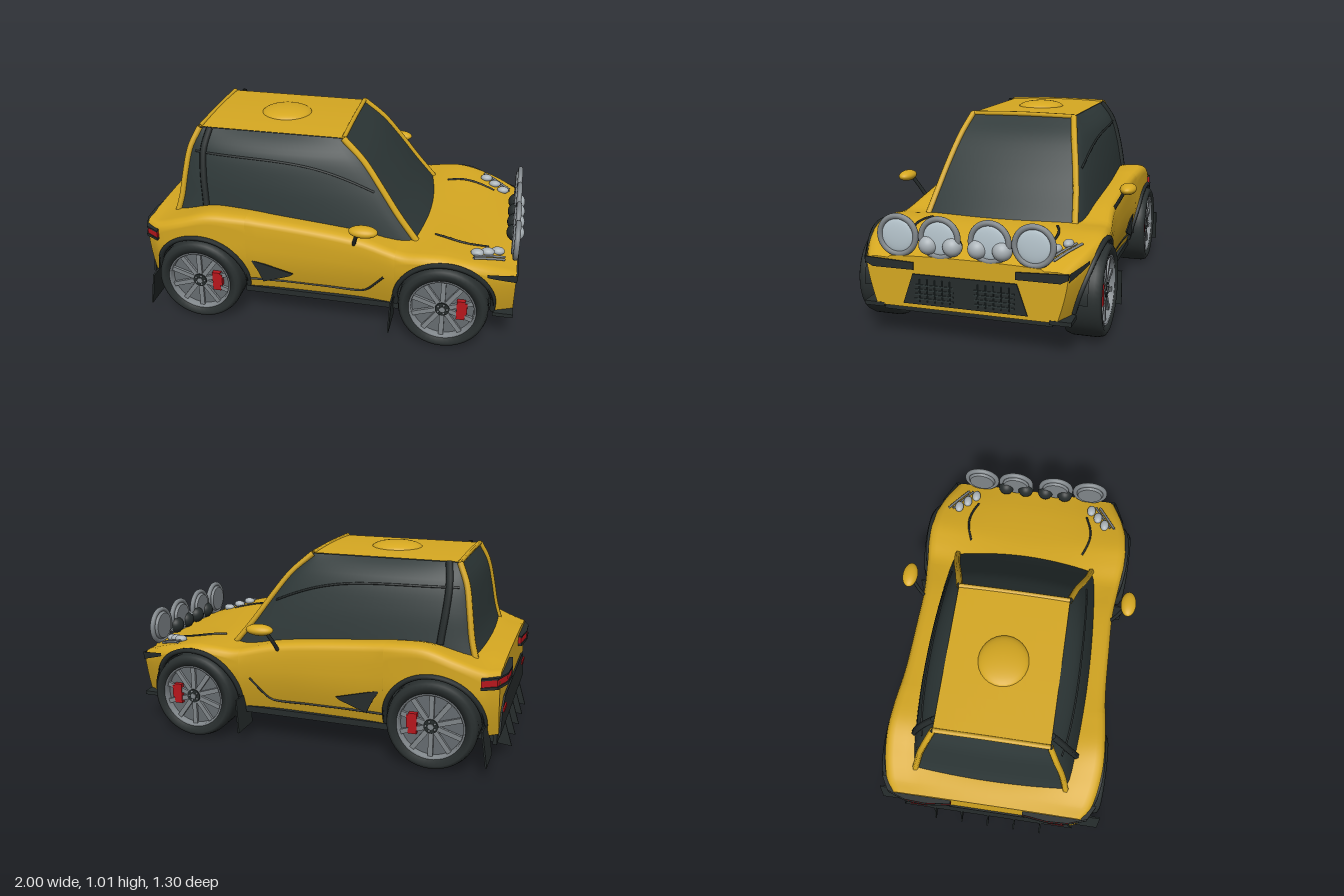
import * as THREE from 'three';

const V = (x, y, z) => new THREE.Vector3(x, y, z);
const mat = (name, color, side = THREE.DoubleSide) => new THREE.MeshStandardMaterial({ name, color, side });
const yellow = mat('yellow paint', 0xd6a821), glass = mat('dark glass', 0x2d3737), black = mat('black trim', 0x262c2c);
const rubber = mat('tyre rubber', 0x2a3030), grey = mat('alloy grey', 0x80868a), shade = mat('inner rim grey', 0x666c70);
const lens = mat('lamp lens', 0xb9c8d0), chrome = mat('pale lens', 0xaab2b7), red = mat('red', 0xb8161c);

// smooth curve through [x, value] keys
function keyed(keys) {
  const n = keys.length;
  const slope = i => {
    const a = keys[Math.max(i - 1, 0)], b = keys[Math.min(i + 1, n - 1)];
    return (b[1] - a[1]) / (b[0] - a[0]);
  };
  return x => {
    let i = 0;
    while (i < n - 2 && x > keys[i + 1][0]) i++;
    const [x0, a] = keys[i], [x1, b] = keys[i + 1], h = x1 - x0, t = Math.min(1, Math.max(0, (x - x0) / h));
    const t2 = t * t, t3 = t2 * t;
    return a * (2 * t3 - 3 * t2 + 1) + b * (3 * t2 - 2 * t3) + h * (slope(i) * (t3 - 2 * t2 + t) + slope(i + 1) * (t3 - t2));
  };
}
const width = keyed([[-0.95, 0.5], [-0.88, 0.545], [-0.7, 0.575], [-0.5, 0.567], [-0.3, 0.547], [0, 0.54], [0.2, 0.54], [0.4, 0.562], [0.55, 0.577], [0.7, 0.572], [0.82, 0.545], [0.9, 0.515], [0.97, 0.485]]);
const shoulder = keyed([[-0.95, 0.5], [-0.88, 0.51], [-0.75, 0.555], [-0.6, 0.602], [-0.45, 0.6], [-0.3, 0.585], [0, 0.557], [0.2, 0.53], [0.4, 0.488], [0.52, 0.497], [0.62, 0.5], [0.75, 0.475], [0.85, 0.448], [0.97, 0.405]]);
const centre = keyed([[-0.95, 0.51], [-0.8, 0.535], [-0.4, 0.54], [0.2, 0.51], [0.45, 0.497], [0.6, 0.49], [0.8, 0.46], [0.97, 0.422]]);
const bodyZ = (x, y) => width(x) - 0.05 * Math.pow(Math.min(1, Math.max(0, (0.4 - y) / 0.23)), 1.5);

// grid surface from a function of (column, row)
function surface(nu, nv, fn) {
  const pos = [], idx = [];
  for (let i = 0; i <= nu; i++) for (let j = 0; j <= nv; j++) pos.push(...fn(i, j).toArray());
  for (let i = 0; i < nu; i++) for (let j = 0; j < nv; j++) {
    const a = i * (nv + 1) + j, b = a + nv + 1;
    idx.push(a, b, a + 1, b, b + 1, a + 1);
  }
  const g = new THREE.BufferGeometry();
  g.setAttribute('position', new THREE.Float32BufferAttribute(pos, 3));
  g.setIndex(idx);
  g.computeVertexNormals();
  return g;
}
function add(parent, name, geo, material, x = 0, y = 0, z = 0) {
  const m = new THREE.Mesh(geo, material);
  m.name = name;
  m.position.set(x, y, z);
  parent.add(m);
  return m;
}
const box = (p, name, m, x0, x1, y0, y1, z0, z1) =>
  add(p, name, new THREE.BoxGeometry(x1 - x0, y1 - y0, z1 - z0), m, (x0 + x1) / 2, (y0 + y1) / 2, (z0 + z1) / 2);
const tube = (p, name, m, pts, r) => add(p, name, new THREE.TubeGeometry(new THREE.CatmullRomCurve3(pts), 32, r, 6), m);
const slab = (pts, depth) => new THREE.ExtrudeGeometry(new THREE.Shape(pts.map(q => new THREE.Vector2(...q))), { depth, bevelEnabled: false });
const plateX = (p, name, m, pts, x, d) => add(p, name, slab(pts, d).rotateY(-Math.PI / 2), m, x);
const plateZ = (p, name, m, pts, z, d) => add(p, name, slab(pts, d), m, 0, 0, z);
const plateY = (p, name, m, pts, y, d) => add(p, name, slab(pts, d).rotateX(Math.PI / 2), m, 0, y);
const ball = (p, name, m, x, y, z, rx, ry, rz) => {
  const b = add(p, name, new THREE.SphereGeometry(1, 28, 16), m, x, y, z);
  b.scale.set(rx, ry, rz);
  return b;
};

const AXLES = [-0.645, 0.625], WY = 0.225, ARCH = 0.25, SILL = 0.17;

// half cross-section of the body, from sill to centre line
function section(x, yb) {
  const ys = shoulder(x), w = width(x), yc = centre(x), ye = Math.max(yb + 0.004, ys - 0.035), pts = [];
  for (let k = 0; k <= 6; k++) { const y = yb + (ye - yb) * k / 6; pts.push([bodyZ(x, y), y]); }
  pts.push([w - 0.008, Math.max(ye, ys - 0.016)], [w - 0.024, ys - 0.004], [w - 0.05, ys], [w - 0.11, ys - 0.002]);
  pts.push([0.36, yc + (ys - yc) * 0.55], [0.25, yc + (ys - yc) * 0.2], [0.12, yc], [0, yc]);
  return pts;
}
function bodySide() {
  const cols = [];
  const run = (a, b) => { for (let i = 0; i <= 14; i++) cols.push([a + (b - a) * i / 14, SILL]); };
  let from = -0.95;
  for (const c of AXLES) {
    run(from, c - ARCH);
    for (let i = 0; i <= 28; i++) {
      const a = Math.PI * (1 - i / 28);
      cols.push([c + ARCH * Math.cos(a), WY + ARCH * Math.sin(a)]);
    }
    from = c + ARCH;
  }
  run(from, 0.97);
  const secs = cols.map(([x, yb]) => section(x, yb).map(([z, y]) => V(x, y, z)));
  return surface(secs.length - 1, secs[0].length - 1, (i, j) => secs[i][j]);
}

// cabin corner curves, bottom to top
const front = new THREE.CatmullRomCurve3([V(0.46, 0.485, 0.39), V(0.36, 0.61, 0.37), V(0.27, 0.735, 0.345), V(0.17, 0.865, 0.313), V(0.06, 0.965, 0.283)]);
const rear = new THREE.CatmullRomCurve3([V(-0.82, 0.5, 0.4), V(-0.79, 0.61, 0.38), V(-0.77, 0.735, 0.357), V(-0.745, 0.865, 0.322), V(-0.7, 0.965, 0.283)]);
const bulge = keyed([[0, 0.06], [0.5, 0.062], [0.78, 0.055], [0.93, 0.025], [1, 0]]);
function sidePoint(s, t, out = 0) {
  const p = rear.getPoint(t).lerp(front.getPoint(t), s);
  p.z += bulge(t) * Math.pow(Math.max(0, 4 * s * (1 - s)), 0.6) + out;
  return p;
}
const across = (curve, depth) => surface(16, 16, (i, j) => {
  const s = i / 8 - 1, p = curve.getPoint(j / 16);
  return V(p.x + depth * (1 - s * s) * (1 - j / 16), p.y, p.z * s);
});

function wheel() {
  const g = new THREE.Group();
  g.name = 'wheel';
  const tyre = [[0.165, -0.085], [0.2, -0.095], [0.217, -0.085], [0.225, -0.06], [0.225, 0.06], [0.217, 0.085], [0.2, 0.095], [0.167, 0.085], [0.163, 0.03]];
  const lathe = pts => new THREE.LatheGeometry(pts.map(q => new THREE.Vector2(...q)), 48).rotateX(Math.PI / 2);
  add(g, 'tyre', lathe(tyre), rubber);
  add(g, 'rimLip', lathe([[0.154, 0.05], [0.158, 0.086], [0.168, 0.086]]), grey);
  const disc = (name, r, d, m, z) => add(g, name, new THREE.CylinderGeometry(r, r, d, 36).rotateX(Math.PI / 2), m, 0, 0, z);
  disc('brakeDisc', 0.162, 0.02, shade, 0.045);
  disc('innerRim', 0.165, 0.02, grey, -0.07);
  for (let i = 0; i < 10; i++) {
    const a = (i + 0.5) * Math.PI / 5;
    const s = add(g, 'spoke', new THREE.BoxGeometry(0.13, 0.024, 0.014), grey, 0.093 * Math.cos(a), 0.093 * Math.sin(a), 0.068);
    s.rotation.z = a;
  }
  disc('hub', 0.036, 0.03, black, 0.066);
  disc('hubCap', 0.014, 0.01, grey, 0.08);
  for (let i = 0; i < 5; i++) {
    const a = i * Math.PI * 0.4;
    add(g, 'wheelNut', new THREE.SphereGeometry(0.006, 8, 6), grey, 0.025 * Math.cos(a), 0.025 * Math.sin(a), 0.081);
  }
  box(g, 'brakeCaliper', red, 0.07, 0.112, -0.05, 0.055, 0.055, 0.079);
  box(g, 'caliperLug', red, 0.105, 0.122, -0.02, 0.045, 0.055, 0.079);
  return g;
}

function buildSide() {
  const g = new THREE.Group();
  g.name = 'side';
  add(g, 'bodySide', bodySide(), yellow);
  add(g, 'sideGlass', surface(28, 20, (i, j) => sidePoint(i / 28, j / 20)), glass);
  const steps = [...Array(13).keys()].map(i => i / 12);
  tube(g, 'windowSeam', black, steps.map(s => sidePoint(0.04 + s * 0.92, 0.73 - 0.25 * Math.pow(s, 5), 0.001)), 0.006);
  tube(g, 'rollBar', black, steps.map(t => sidePoint(0.13 - 0.06 * t, 0.2 + 0.8 * t, 0.004)), 0.018);
  tube(g, 'frontPillar', yellow, steps.map(t => front.getPoint(t)), 0.017);
  tube(g, 'rearPillar', yellow, steps.map(t => rear.getPoint(t)), 0.017);
  // wheels, arches and mud flaps
  for (const c of AXLES) {
    const w = wheel();
    w.position.set(c, WY, 0.51);
    g.add(w);
    const arc = (r, out) => steps.map(s => {
      const a = Math.PI * (s * 1.1 - 0.05), x = c + r * Math.cos(a), y = WY + r * Math.sin(a);
      return V(x, y, bodyZ(x, y) + out);
    });
    tube(g, 'archTrim', black, arc(0.246, 0.002), 0.014);
    const liner = new THREE.CylinderGeometry(0.247, 0.247, 0.16, 32, 1, true, Math.PI / 2, Math.PI).rotateX(Math.PI / 2);
    add(g, 'archLiner', liner, black, c, WY, 0.47);
    box(g, 'mudFlap', black, c - 0.265, c - 0.257, 0.06, 0.24, 0.45, 0.615).rotation.z = c < 0 ? -0.15 : -0.05;
  }
  // sill, vent and crease
  box(g, 'sill', yellow, -0.39, 0.37, 0.165, 0.18, 0.4, 0.49);
  box(g, 'sideSkirt', black, -0.42, 0.4, 0.142, 0.175, 0.46, 0.512);
  box(g, 'frontLip', black, 0.87, 0.972, 0.16, 0.18, 0.4, 0.5);
  plateZ(g, 'sideVent', black, [[-0.375, 0.358], [-0.15, 0.3], [-0.17, 0.285], [-0.31, 0.235], [-0.34, 0.3]], 0.54, 0.008);
  const crease = [[-0.41, 0.23], [-0.2, 0.228], [0, 0.226], [0.21, 0.228], [0.24, 0.25], [0.32, 0.345]];
  tube(g, 'creaseLine', black, crease.map(([x, y]) => V(x, y, bodyZ(x, y))), 0.006);
  // mirror
  tube(g, 'mirrorStalk', black, [V(0.16, 0.49, 0.52), V(0.175, 0.55, 0.555), V(0.2, 0.615, 0.59)], 0.01);
  ball(g, 'mirror', yellow, 0.225, 0.63, 0.61, 0.072, 0.028, 0.042);
  // headlight strip and bonnet lights
  plateX(g, 'headlightStrip', black, [[0.245, 0.355], [0.45, 0.355], [0.487, 0.375], [0.487, 0.4], [0.245, 0.39]], 0.977, 0.009);
  add(g, 'headlightCorner', surface(10, 3, (i, j) => {
    const t = i / 10, x = 0.975 - 0.145 * t, y = 0.36 + 0.05 * t + 0.042 * (1 - 0.6 * t) * j / 3;
    return V(x, y, bodyZ(x, y) + 0.006);
  }), black);
  const onTop = (x, z) => centre(x) + (shoulder(x) - centre(x)) * Math.min(1, Math.max(0, (z - 0.15) / 0.25));
  for (let i = 0; i < 3; i++) {
    const x = 0.77 + 0.05 * i, z = 0.435 - 0.043 * i;
    ball(g, 'bonnetLight', chrome, x, onTop(x, z) + 0.01, z, 0.033, 0.02, 0.025);
  }
  for (const [d, r] of [[0, 0.007], [0.025, 0.006]])
    tube(g, 'bonnetLightBar', grey, [0, 0.5, 1].map(t => { const x = 0.755 + 0.15 * t, z = 0.495 - d - 0.095 * t; return V(x, onTop(x, z) + 0.006, z); }), r);
  tube(g, 'bonnetVent', black, steps.map(t => { const x = 0.55 + 0.27 * t, z = 0.325 + 0.035 * Math.sin(Math.PI * t); return V(x, onTop(x, z), z); }), 0.006);
  // spotlights
  for (const z of [0.12, 0.325]) {
    add(g, 'spotlightRing', new THREE.TorusGeometry(0.089, 0.014, 10, 40).rotateY(Math.PI / 2), grey, 0.957, 0.51, z);
    add(g, 'spotlightBack', new THREE.CylinderGeometry(0.085, 0.07, 0.025, 36).rotateZ(-Math.PI / 2), grey, 0.947, 0.51, z);
    ball(g, 'spotlightLens', lens, 0.958, 0.51, z, 0.012, 0.08, 0.08);
  }
  for (const z of [0.06, 0.177]) {
    const half = () => new THREE.SphereGeometry(0.046, 24, 12, 0, Math.PI * 2, 0, Math.PI / 2);
    add(g, 'foglightLens', half().rotateZ(-Math.PI / 2), chrome, 0.95, 0.473, z);
    add(g, 'foglightHousing', half().rotateZ(Math.PI / 2), black, 0.95, 0.473, z);
  }
  // grille slats
  for (let i = 0; i < 4; i++) box(g, 'grilleSlat', glass, 0.972, 0.98, 0.215 + 0.022 * i, 0.222 + 0.022 * i, 0.05, 0.24);
  for (let i = 0; i < 5; i++) box(g, 'grilleBar', glass, 0.972, 0.982, 0.205, 0.315, 0.065 + 0.037 * i, 0.07 + 0.037 * i);
  // tail lights
  const band = d => [[-0.965 - d, 0.19], [-0.98 - d, 0.32], [-0.975 - d, 0.43], [-0.94 - d, 0.525 + d], [-0.87, 0.567 + d], [-0.87, 0.53], [-0.94, 0.48], [-0.94, 0.19]];
  plateY(g, 'tailLight', red, band(0), 0.474, 0.035);
  plateY(g, 'tailLightBase', black, band(0.005), 0.44, 0.014);
  plateY(g, 'tailLightCap', black, band(0.003), 0.482, 0.009);
  box(g, 'rearReflector', red, -0.968, -0.96, 0.275, 0.295, 0.33, 0.42);
  return g;
}

export function createModel() {
  const car = new THREE.Group();
  car.name = 'rallyCar';
  const left = buildSide(), right = left.clone();
  left.name = 'leftSide';
  right.name = 'rightSide';
  right.scale.z = -1;
  car.add(left, right);
  // nose and tail faces
  for (const [name, x] of [['noseFace', 0.97], ['tailFace', -0.95]]) {
    const s = section(x, SILL);
    plateX(car, name, yellow, [...s, ...s.slice(0, -1).reverse().map(([z, y]) => [-z, y])], x + (x < 0 ? 0.004 : 0), 0.004);
  }
  // cabin
  add(car, 'windscreen', across(front, 0.045), glass);
  add(car, 'rearWindow', across(rear, -0.02), glass);
  add(car, 'roof', surface(12, 12, (i, j) => {
    const s = i / 6 - 1, t = j / 6 - 1;
    return V(-0.32 + 0.385 * t, 0.968 + 0.008 * (1 - s * s), 0.285 * s);
  }), yellow);
  for (const x of [0.06, -0.7]) tube(car, 'roofRail', yellow, [V(x, 0.966, -0.285), V(x, 0.971, 0), V(x, 0.966, 0.285)], 0.013);
  ball(car, 'roofDome', yellow, -0.31, 0.972, 0, 0.134, 0.034, 0.127);
  // underside
  box(car, 'floor', black, -0.93, 0.95, 0.143, 0.17, -0.41, 0.41);
  box(car, 'centreFloor', black, -0.39, 0.37, 0.143, 0.16, -0.46, 0.46);
  box(car, 'innerHull', black, -0.93, 0.95, 0.165, 0.4, -0.395, 0.395);
  // grille
  plateX(car, 'grille', black, [[-0.3, 0.19], [0.3, 0.19], [0.25, 0.335], [-0.25, 0.335]], 0.976, 0.008);
  // rear panel and diffuser fins
  plateX(car, 'rearPanel', black, [[-0.47, 0.17], [0.47, 0.17], [0.44, 0.28], [0.36, 0.335], [-0.36, 0.335], [-0.44, 0.28]], -0.952, 0.009);
  plateX(car, 'diffuserLip', black, [[-0.42, 0.1], [0.42, 0.1], [0.42, 0.18], [-0.42, 0.18]], -0.92, 0.02);
  for (let i = -2; i <= 2; i++)
    plateZ(car, 'diffuserFin', black, [[-1, 0.05], [-0.8, 0.072], [-0.8, 0.17], [-0.955, 0.2]], i * 0.148 - 0.004, 0.008);
  return car;
}
